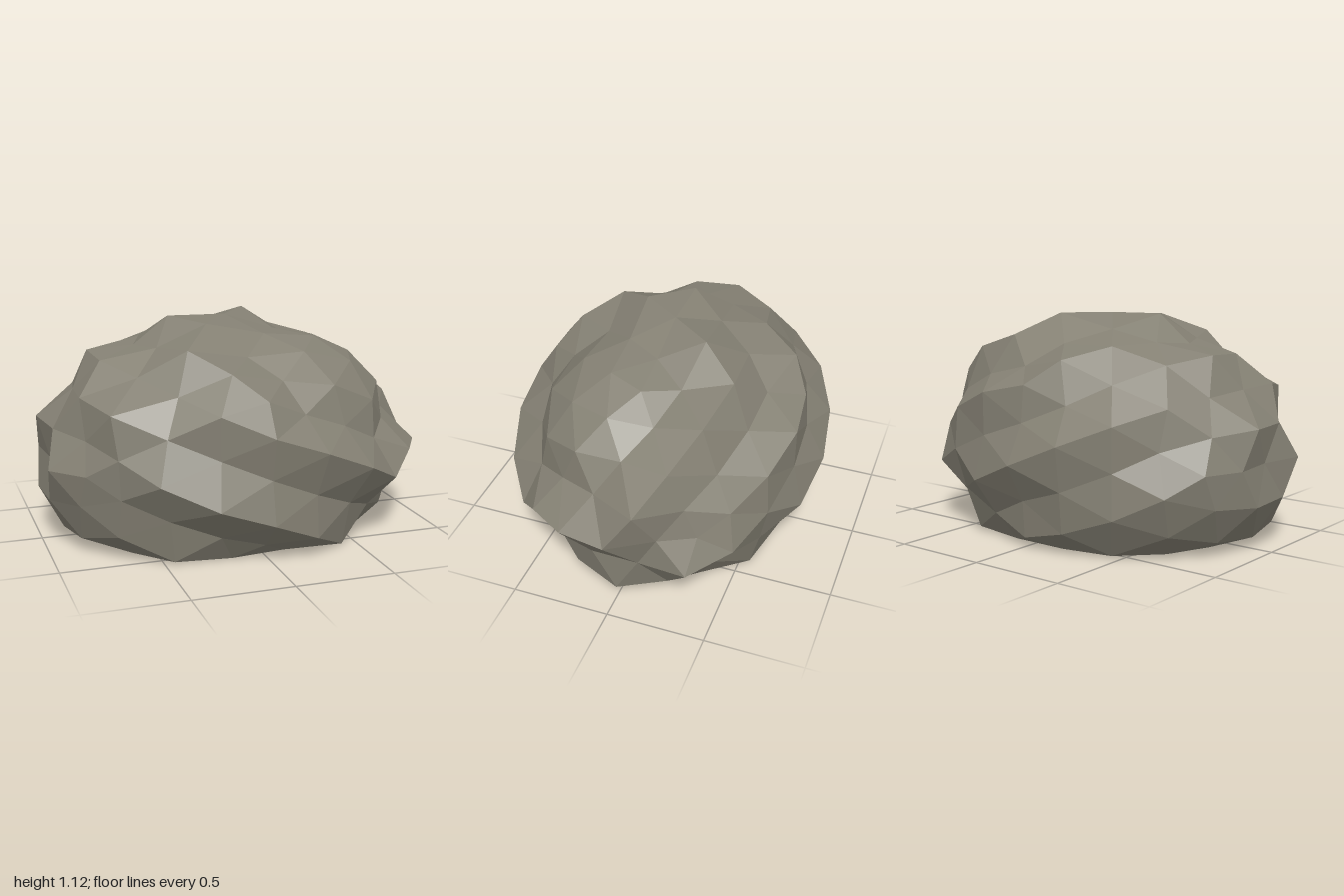
import * as THREE from 'three';

// Tilted direction that the rock layers are stacked along
const LAYER = new THREE.Vector3(0.56, 1.022, 0.477);
const CENTRE = new THREE.Vector3(-0.02, 0.43, 0.008);
const RADII = new THREE.Vector3(1, 0.7, 0.8);

// Height through the layers and how far the surface stands out there:
// ledges just above 1, undercut grooves between them,
// and a worn ring around a low knob on the top layer
const STRATA = [
  [-0.5, 1.02], [-0.23, 1.02], [-0.16, 0.925], [-0.1, 0.925],
  [0, 1.022], [0.11, 1.008], [0.19, 0.95], [0.25, 0.925], [0.38, 0.945],
  [0.46, 1.005], [0.51, 1.025], [0.58, 1.04], [0.64, 0.99], [0.73, 0.922], [0.93, 0.925],
  [0.95, 1.03], [1.0, 1.022], [1.11, 1.03], [1.15, 0.985], [1.2, 0.89],
  [1.26, 0.875], [1.3, 0.9], [1.36, 0.94], [1.42, 0.96], [1.46, 1.0],
];

function relief(height) {
  const i = STRATA.findIndex(([h]) => h >= height);
  if (i === 0) return STRATA[0][1];
  if (i < 0) return STRATA[STRATA.length - 1][1];
  const [h0, r0] = STRATA[i - 1];
  const [h1, r1] = STRATA[i];
  return THREE.MathUtils.mapLinear(height, h0, h1, r0, r1);
}

export function createModel() {
  const group = new THREE.Group();
  group.name = 'boulder';

  const stone = new THREE.MeshStandardMaterial({ color: 0x858174 });
  stone.name = 'grey stone';
  stone.flatShading = true;

  // Faceted ellipsoid, carved along the layers and cut flat at the ground
  const geometry = new THREE.IcosahedronGeometry(1, 3);
  const pos = geometry.attributes.position;
  const p = new THREE.Vector3();
  for (let i = 0; i < pos.count; i++) {
    p.fromBufferAttribute(pos, i).multiply(RADII);
    const height = p.dot(LAYER) + CENTRE.y * LAYER.y;
    p.multiplyScalar(relief(height)).add(CENTRE);
    pos.setXYZ(i, p.x, Math.max(0, p.y), p.z);
  }
  geometry.computeVertexNormals();

  const rock = new THREE.Mesh(geometry, stone);
  rock.name = 'layeredRock';
  group.add(rock);
  return group;
}
